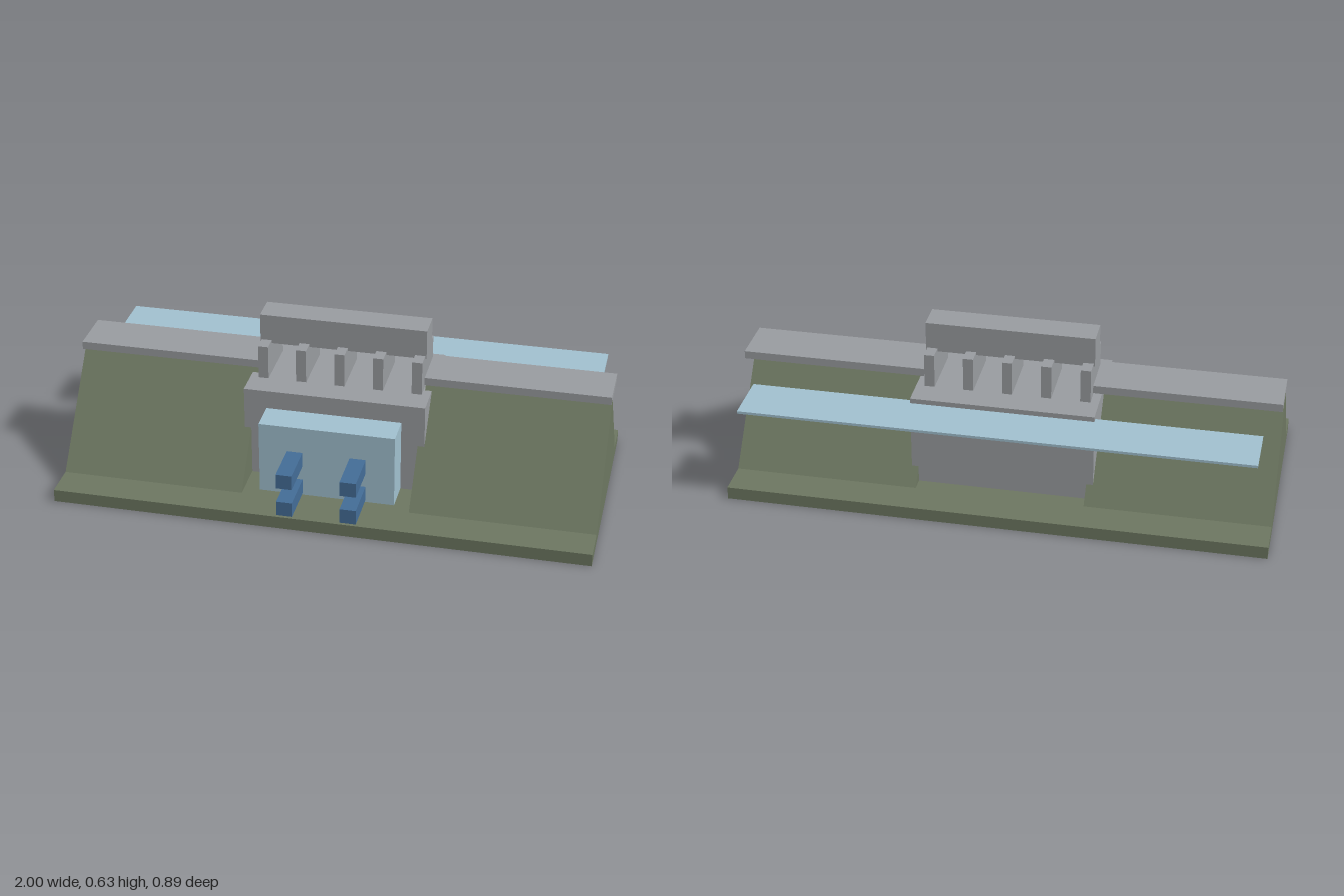
import * as THREE from 'three';

const mat = (name, color) => {
  const m = new THREE.MeshStandardMaterial({ color });
  m.name = name;
  return m;
};

export function createModel() {
  const group = new THREE.Group();
  const grass = mat('grass green', 0x6c7660);
  const concrete = mat('concrete grey', 0x989b9f);
  const paleBlue = mat('pale blue', 0xa0bfce);
  const deepBlue = mat('deep blue', 0x436c96);

  // Box given by its extents along each axis
  const box = (name, material, [x0, x1], [y0, y1], [z0, z1]) => {
    const mesh = new THREE.Mesh(new THREE.BoxGeometry(x1 - x0, y1 - y0, z1 - z0), material);
    mesh.position.set((x0 + x1) / 2, (y0 + y1) / 2, (z0 + z1) / 2);
    mesh.name = name;
    group.add(mesh);
  };

  // Ground slab
  box('base', grass, [-1, 1], [0, 0.048], [-0.447, 0.447]);

  // Triangular embankments and the crest road, one on each side of the block
  const section = new THREE.Shape([
    new THREE.Vector2(-0.315, 0.048),
    new THREE.Vector2(0.315, 0.048),
    new THREE.Vector2(0, 0.43),
  ]);
  const bankGeometry = new THREE.ExtrudeGeometry(section, { depth: 0.685, bevelEnabled: false });
  bankGeometry.rotateY(Math.PI / 2);
  for (const [side, x] of [['right', -1], ['left', 0.315]]) {
    const bank = new THREE.Mesh(bankGeometry, grass);
    bank.position.x = x;
    bank.name = side + 'Embankment';
    group.add(bank);
    box(side + 'CrestRoad', concrete, [x, x + 0.685], [0.43, 0.46], [-0.145, 0.04]);
  }

  // Central block with piers carrying the top beam
  box('centralBlock', concrete, [-0.34, 0.34], [0.048, 0.4], [-0.263, 0.158]);
  for (let i = -2; i <= 2; i++) {
    const x = i * 0.145;
    box('pier', concrete, [x - 0.019, x + 0.019], [0.4, 0.53], [-0.163, 0.06]);
  }
  box('topBeam', concrete, [-0.314, 0.314], [0.518, 0.632], [-0.106, 0.002]);

  // Front housing and its four outlet channels
  box('frontHousing', paleBlue, [-0.255, 0.253], [0.048, 0.329], [0.158, 0.278]);
  for (const x of [-0.12, 0.116])
    for (const [y0, y1] of [[0.056, 0.113], [0.17, 0.227]])
      box('outlet', deepBlue, [x - 0.03, x + 0.03], [y0, y1], [0.278, 0.447]);

  // Water surface behind
  box('waterSurface', paleBlue, [-0.943, 0.941], [0.371, 0.381], [-0.44, -0.242]);

  return group;
}
